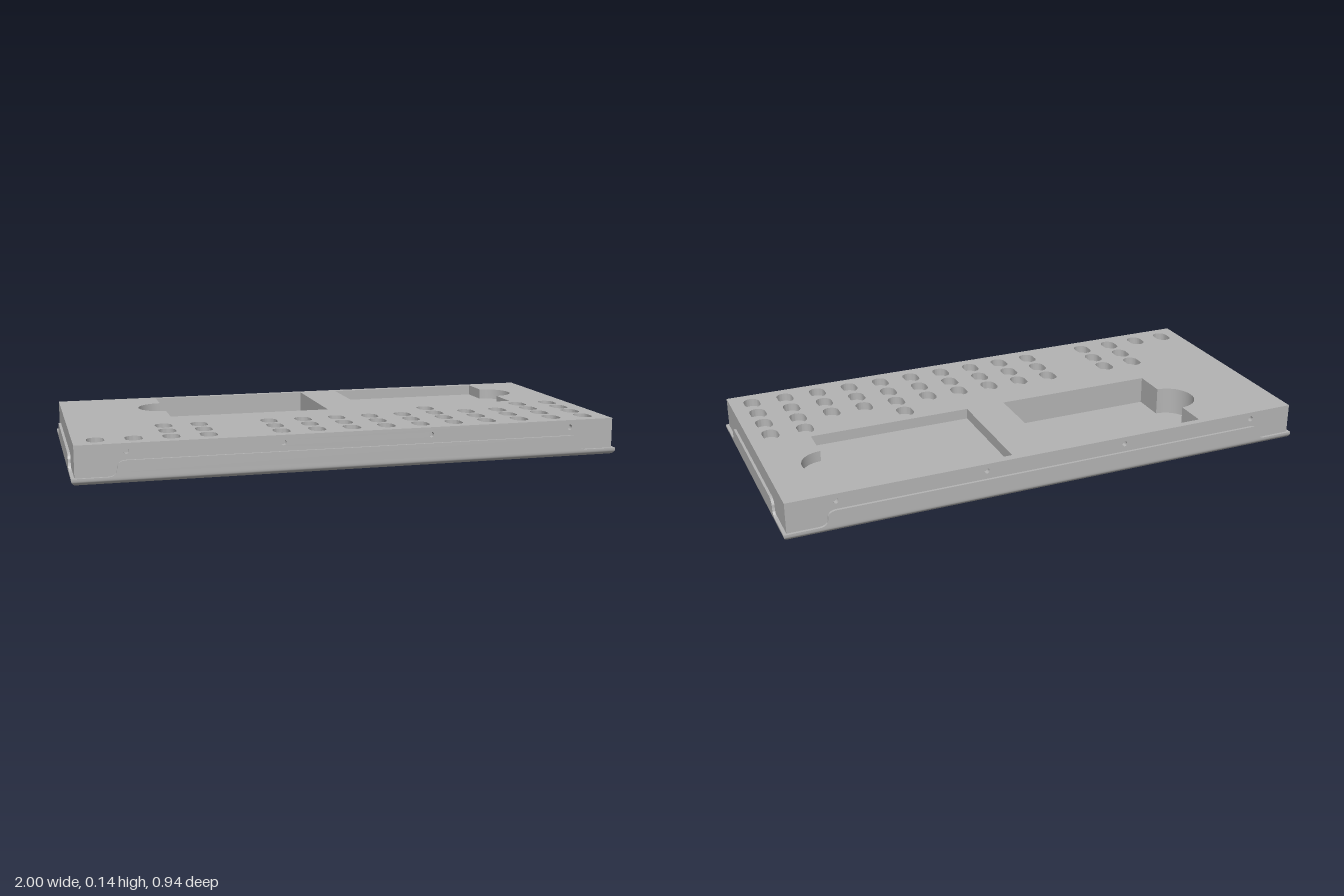
import * as THREE from 'three';
import { toCreasedNormals } from 'three/addons/utils/BufferGeometryUtils.js';

const grey = new THREE.MeshStandardMaterial({ color: 0xb4b4b4 });
grey.name = 'grey';

// outer half sizes of the tray, half sizes and top of the block inside it
const TX = 1, TZ = 0.47, BX = 0.988, BZ = 0.46, TOP = 0.137, LIP = 0.025;

function add(group, geometry, name) {
  const mesh = new THREE.Mesh(geometry, grey);
  mesh.name = name;
  group.add(mesh);
  return mesh;
}

function fromTriangles(positions) {
  const g = new THREE.BufferGeometry();
  g.setAttribute('position', new THREE.Float32BufferAttribute(positions, 3));
  g.computeVertexNormals();
  return toCreasedNormals(g, 0.6);
}

// flat panel facing +z, with recesses sunk into it
function panel(name, x0, x1, y0, y1, recesses) {
  const group = new THREE.Group();
  group.name = name;
  const face = new THREE.Shape([[x0, y0], [x1, y0], [x1, y1], [x0, y1]].map(p => new THREE.Vector2(...p)));
  face.holes = recesses.map(r => r.shape);
  add(group, new THREE.ShapeGeometry(face, 10), name + 'Face');
  for (const { shape, depth, label } of recesses) {
    const pts = shape.getPoints(10);
    const walls = [];
    pts.forEach((a, i) => {
      const b = pts[(i + 1) % pts.length];
      if (a.distanceTo(b) < 1e-5) return;
      walls.push(a.x, a.y, 0, b.x, b.y, 0, a.x, a.y, -depth);
      walls.push(b.x, b.y, 0, b.x, b.y, -depth, a.x, a.y, -depth);
    });
    add(group, fromTriangles(walls), label + 'Walls');
    add(group, new THREE.ShapeGeometry(shape, 10).translate(0, 0, -depth), label + 'Floor');
  }
  return group;
}

function slot(x, z) {
  const s = new THREE.Shape(), r = 0.03, h = 0.0125;
  s.absarc(x, -z + h, r, 0, Math.PI);
  s.absarc(x, -z - h, r, Math.PI, Math.PI * 2);
  s.closePath();
  return { shape: s, depth: 0.03, label: 'slot' };
}

function pinHole(x) {
  const s = new THREE.Shape();
  s.absarc(x, 0.11, 0.01, 0, Math.PI * 2);
  return { shape: s, depth: 0.02, label: 'pinHole' };
}

// rectangular pockets with a round finger notch on the outer end
function pockets() {
  const left = new THREE.Shape();
  left.moveTo(-0.6, 0).lineTo(0.012, 0).lineTo(0.012, 0.435).lineTo(-0.6, 0.435).lineTo(-0.6, 0.315);
  left.absarc(-0.6, 0.22, 0.095, Math.PI / 2, Math.PI * 1.5);
  left.closePath();
  const right = new THREE.Shape();
  right.moveTo(0.163, 0).lineTo(0.775, 0).lineTo(0.775, 0.13);
  right.absarc(0.775, 0.22, 0.09, -Math.PI / 2, Math.PI / 2);
  right.lineTo(0.775, 0.43).lineTo(0.163, 0.43);
  right.closePath();
  return [
    { shape: left, depth: 0.105, label: 'deepPocket' },
    { shape: right, depth: 0.04, label: 'shallowPocket' },
  ];
}

// shallow pan with a rounded lower edge
function panGeometry() {
  const rings = [], r = 0.02, n = 6, tri = [];
  const ring = (inset, y) => [[1, 1], [1, -1], [-1, -1], [-1, 1]]
    .map(([sx, sz]) => [sx * (TX - inset), y, sz * (TZ - inset)]);
  for (let i = 0; i <= n; i++) {
    const a = (i / n) * Math.PI / 2;
    rings.push(ring(r * (1 - Math.sin(a)), r * (1 - Math.cos(a))));
  }
  rings.push(ring(0, LIP));
  for (let i = 0; i + 1 < rings.length; i++) {
    for (let k = 0; k < 4; k++) {
      const a = rings[i][k], b = rings[i][(k + 1) % 4];
      const c = rings[i + 1][(k + 1) % 4], d = rings[i + 1][k];
      tri.push(...a, ...b, ...c, ...a, ...c, ...d);
    }
  }
  const [p, q, s, t] = rings[0], [e, f, g, h] = rings[rings.length - 1];
  tri.push(...p, ...s, ...q, ...p, ...t, ...s);
  tri.push(...e, ...f, ...g, ...e, ...g, ...h);
  return fromTriangles(tri);
}

// raised wall with S-curved ends, outer face on z = 0
function flapGeometry(h) {
  const s = new THREE.Shape(), w = 0.033, mid = 0.0525, top = 0.08;
  s.moveTo(-h - w, LIP);
  s.lineTo(h + w, LIP);
  s.quadraticCurveTo(h, LIP, h, mid);
  s.quadraticCurveTo(h, top, h - w, top);
  s.lineTo(-h + w, top);
  s.quadraticCurveTo(-h, top, -h, mid);
  s.quadraticCurveTo(-h, LIP, -h - w, LIP);
  const g = new THREE.ExtrudeGeometry(s, { depth: 0.0095, bevelEnabled: false, curveSegments: 8 });
  return toCreasedNormals(g.translate(0, 0, -0.0095), 0.6);
}

export function createModel() {
  const model = new THREE.Group();
  model.name = 'trayWithInsert';

  // tray
  const tray = new THREE.Group();
  tray.name = 'tray';
  add(tray, panGeometry(), 'pan');
  for (const s of [1, -1]) {
    const long = add(tray, flapGeometry(0.847), s > 0 ? 'frontWall' : 'backWall');
    long.rotation.y = s > 0 ? 0 : Math.PI;
    long.position.z = s * TZ;
    const short = add(tray, flapGeometry(0.317), s > 0 ? 'leftWall' : 'rightWall');
    short.rotation.y = s * Math.PI / 2;
    short.position.x = s * TX;
  }

  // slot columns on a regular pitch, by row
  const rows = [
    [0.075, [10, 13, 14]],
    [0.177, [2, 3, 5, 6, 7, 8, 9, 10, 11, 12, 13, 14]],
    [0.277, [2, 3, 5, 6, 7, 8, 9, 10, 11, 12, 13, 14]],
    [0.38, [0, 1, 2, 3, 5, 6, 7, 8, 9, 10, 11, 12, 13, 14]],
  ];
  const slots = rows.flatMap(([z, cols]) => cols.map(c => slot(-0.91 + c * 0.1297, z)));

  // insert block
  const block = new THREE.Group();
  block.name = 'insertBlock';
  const top = panel('top', -BX, BX, -BZ, BZ, [...pockets(), ...slots]);
  top.rotation.x = -Math.PI / 2;
  top.position.y = TOP;
  block.add(top);
  for (const s of [1, -1]) {
    const holes = [-0.815, -0.272, 0.272, 0.815].map(pinHole);
    const long = panel(s > 0 ? 'front' : 'back', -BX, BX, 0.02, TOP, holes);
    long.rotation.y = s > 0 ? 0 : Math.PI;
    long.position.z = s * BZ;
    const short = panel(s > 0 ? 'leftSide' : 'rightSide', -BZ, BZ, 0.02, TOP, []);
    short.rotation.y = s * Math.PI / 2;
    short.position.x = s * BX;
    block.add(long, short);
  }

  model.add(tray, block);
  return model;
}
